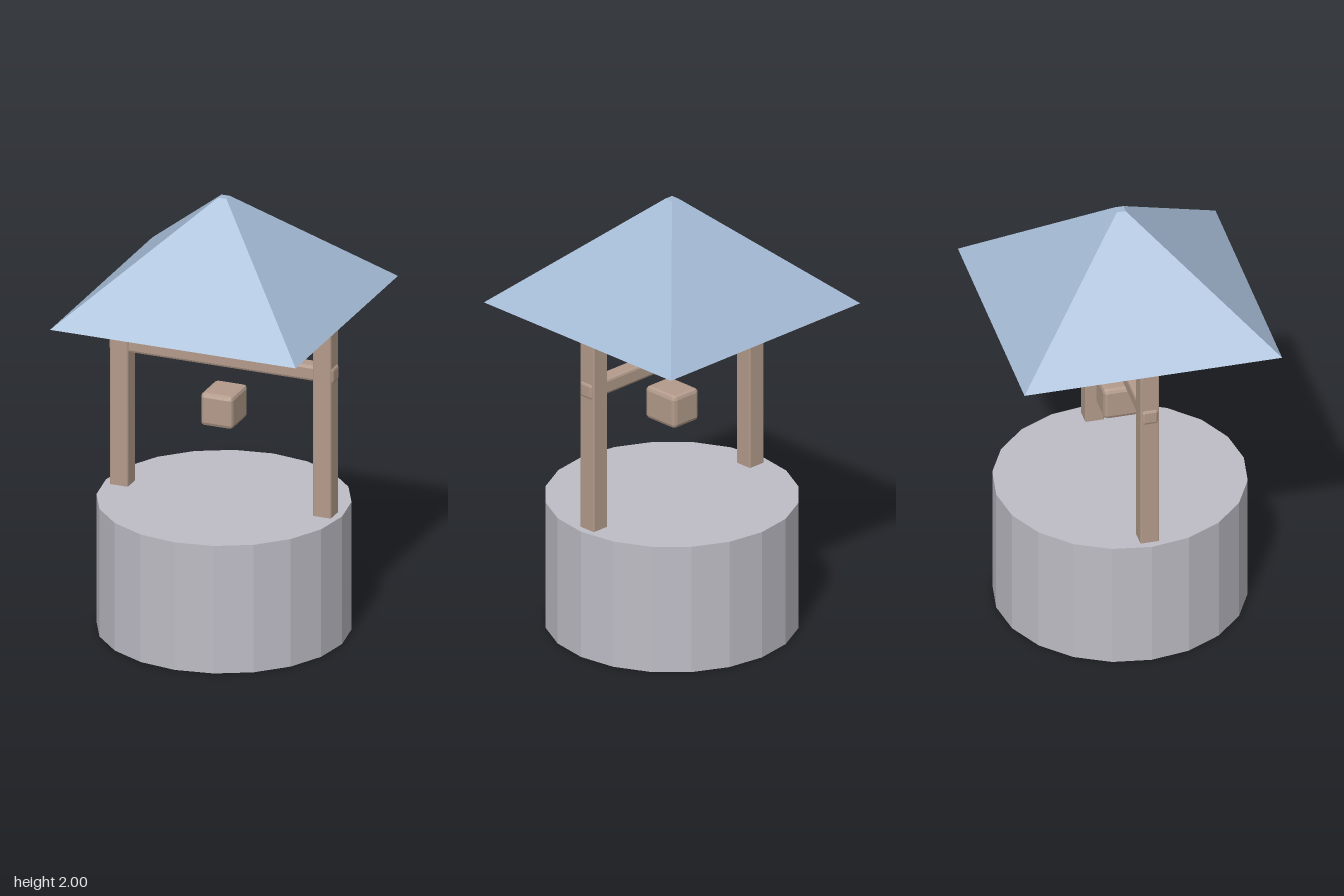
import * as THREE from 'three';
import { RoundedBoxGeometry } from 'three/addons/geometries/RoundedBoxGeometry.js';

export function createModel() {
  const well = new THREE.Group();
  well.name = 'well';

  const material = (name, color) => {
    const m = new THREE.MeshStandardMaterial({ color, flatShading: true });
    m.name = name;
    return m;
  };
  const stone = material('stone grey', 0xbebcc5);
  const wood = material('wood brown', 0xb39b8b);
  const slate = material('roof blue', 0xa3b9d3);

  const add = (name, geometry, mat, x, y, z = 0) => {
    const mesh = new THREE.Mesh(geometry, mat);
    mesh.name = name;
    mesh.position.set(x, y, z);
    well.add(mesh);
    return mesh;
  };
  // Box with a single chamfer along its edges
  const bevelBox = (w, h, d, bevel) => new RoundedBoxGeometry(w, h, d, 1, bevel);

  // Solid twenty-sided base
  add('stoneBase', new THREE.CylinderGeometry(0.553, 0.553, 0.595, 20), stone, 0, 0.2975);

  // Posts, sunk slightly into the base and the roof
  for (const [name, side] of [['leftPost', 1], ['rightPost', -1]]) {
    add(name, bevelBox(0.085, 0.96, 0.085, 0.006), wood, side * 0.475, 1.04);
  }

  // Crossbeam, its ends just showing outside the posts
  add('crossbeam', bevelBox(1.05, 0.072, 0.074, 0.012), wood, 0, 1.254);

  // Bucket hanging free under the beam
  add('bucket', bevelBox(0.152, 0.152, 0.182, 0.018), wood, 0, 1.03);

  // Four-sided roof with a tiny flat top
  const roof = new THREE.CylinderGeometry(0.02 * Math.SQRT2, 0.575 * Math.SQRT2, 0.495, 4);
  roof.rotateY(Math.PI / 4);
  add('roof', roof, slate, 0, 1.7525);

  return well;
}
